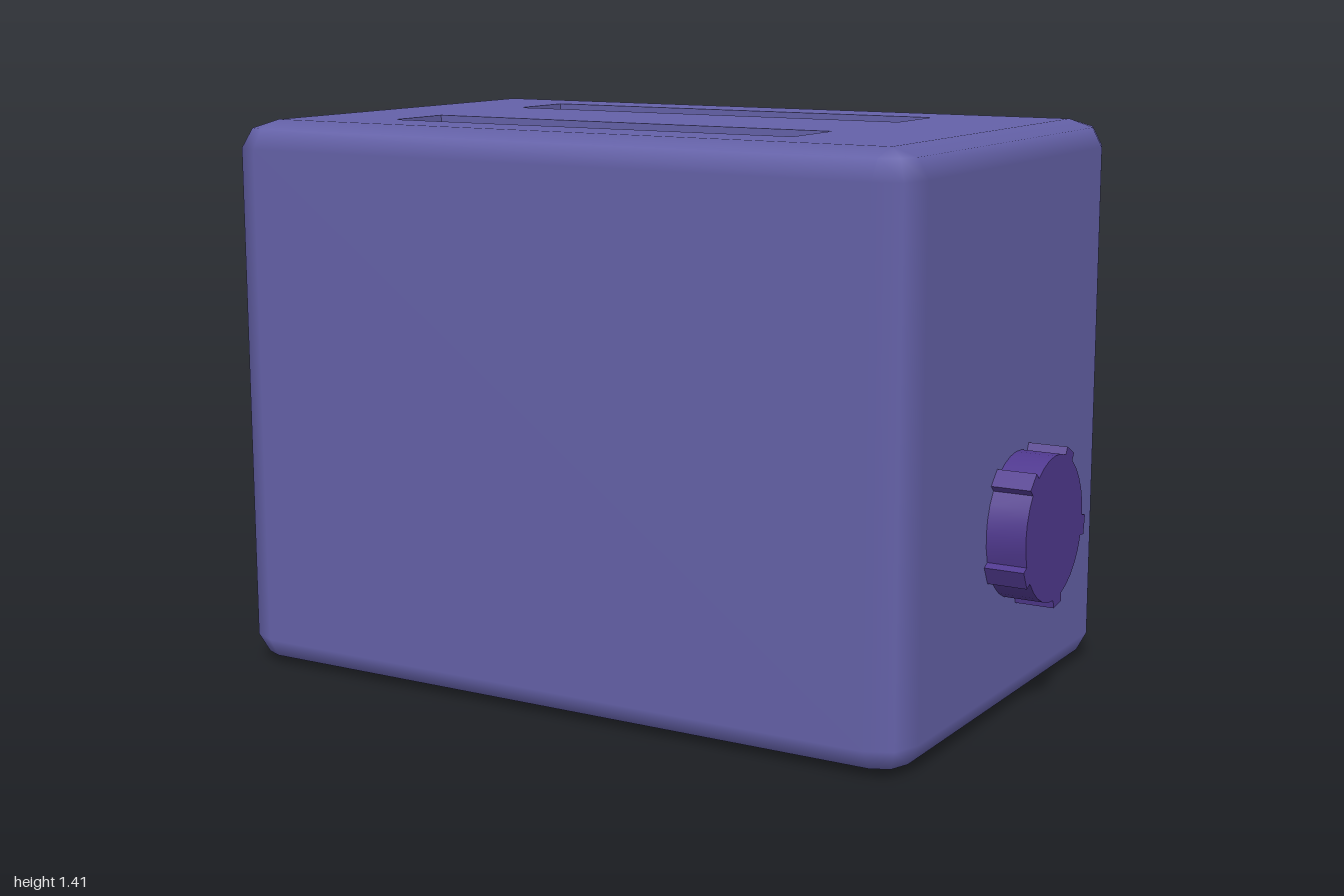
import * as THREE from 'three';
import { toCreasedNormals } from 'three/addons/utils/BufferGeometryUtils.js';

const CX = -0.05, HX = 0.95, HZ = 0.62, H = 1.415; // housing extents
const RX = 0.09, RY = 0.07, RZ = 0.1;              // edge rounding per axis
const SLOT = { x0: -0.65, x1: 0.49, z: 0.28, w: 0.195, depth: 0.6 };

// Rounded side shell: stacked plan loops with two-step corners, open at top and bottom
function shellGeometry() {
  const pos = [], nor = [], idx = [];
  const levels = [-90, -45, 0, 0, 45, 90];
  const n = 12;
  levels.forEach((deg, l) => {
    const phi = THREE.MathUtils.degToRad(deg), c = Math.cos(phi), s = Math.sin(phi);
    const y = (l < 3 ? RY : H - RY) + RY * s;
    for (let q = 0; q < 4; q++) {
      const sx = q === 0 || q === 3 ? 1 : -1, sz = q < 2 ? 1 : -1;
      for (let k = 0; k < 3; k++) {
        const a = (q + k / 2) * Math.PI / 2;
        pos.push(CX + sx * (HX - RX) + RX * c * Math.cos(a), y, sz * (HZ - RZ) + RZ * c * Math.sin(a));
        const v = new THREE.Vector3(c * Math.cos(a), s, c * Math.sin(a)).normalize();
        nor.push(v.x, v.y, v.z);
      }
    }
    if (l === 0) return;
    for (let i = 0; i < n; i++) {
      const j = (i + 1) % n, a = (l - 1) * n, b = l * n;
      idx.push(a + i, b + i, b + j, a + i, b + j, a + j);
    }
  });
  const g = new THREE.BufferGeometry();
  g.setAttribute('position', new THREE.Float32BufferAttribute(pos, 3));
  g.setAttribute('normal', new THREE.Float32BufferAttribute(nor, 3));
  g.setIndex(idx);
  return g;
}

function rectPath(path, x0, x1, y0, y1) {
  path.moveTo(x0, y0);
  path.lineTo(x1, y0);
  path.lineTo(x1, y1);
  path.lineTo(x0, y1);
  path.closePath();
  return path;
}

// Disc outline with five grip tabs
function knobShape() {
  const r = 0.18, R = 0.2, half = 0.137, pts = [];
  const add = (rad, a) => pts.push(new THREE.Vector2(rad * Math.cos(a), rad * Math.sin(a)));
  const step = Math.PI * 2 / 5;
  for (let i = 0; i < 5; i++) {
    const a = THREE.MathUtils.degToRad(63) + i * step;
    add(r, a - half);
    add(R, a - half * 0.9);
    add(R, a + half * 0.9);
    for (let k = 0; k < 5; k++) add(r, a + half + (step - 2 * half) * k / 5);
  }
  return new THREE.Shape(pts);
}

export function createModel() {
  const model = new THREE.Group();
  const bodyMat = new THREE.MeshStandardMaterial({ color: 0x6461a8 });
  const slotMat = new THREE.MeshStandardMaterial({ color: 0x6461a8, side: THREE.BackSide });
  const knobMat = new THREE.MeshStandardMaterial({ color: 0x50398f });
  const add = (name, geo, mat) => {
    const m = new THREE.Mesh(geo, mat);
    m.name = name;
    model.add(m);
    return m;
  };

  add('housing', shellGeometry(), bodyMat);

  // Top panel with the two slot openings
  const px = HX - RX, pz = HZ - RZ;
  const top = rectPath(new THREE.Shape(), CX - px, CX + px, -pz, pz);
  for (const s of [-1, 1]) {
    top.holes.push(rectPath(new THREE.Path(), SLOT.x0, SLOT.x1, s * SLOT.z - SLOT.w / 2, s * SLOT.z + SLOT.w / 2));
  }
  add('topPanel', new THREE.ShapeGeometry(top).rotateX(-Math.PI / 2), bodyMat).position.y = H;

  // Bottom panel
  add('bottomPanel', new THREE.PlaneGeometry(px * 2, pz * 2).rotateX(Math.PI / 2), bodyMat).position.x = CX;

  // Bread slots: boxes seen from inside, with the lid left out
  for (const s of [-1, 1]) {
    const g = new THREE.BoxGeometry(SLOT.x1 - SLOT.x0, SLOT.depth, SLOT.w);
    g.setIndex(Array.from(g.index.array).filter((_, i) => i < 12 || i >= 18));
    g.clearGroups();
    add(s > 0 ? 'frontSlot' : 'backSlot', g, slotMat)
      .position.set((SLOT.x0 + SLOT.x1) / 2, H - SLOT.depth / 2, s * SLOT.z);
  }

  // Dial on the side
  const knob = new THREE.ExtrudeGeometry(knobShape(), { depth: 0.1, bevelEnabled: false });
  knob.rotateY(Math.PI / 2);
  add('knob', toCreasedNormals(knob, Math.PI / 6), knobMat).position.set(0.9, 0.472, -0.017);

  return model;
}
